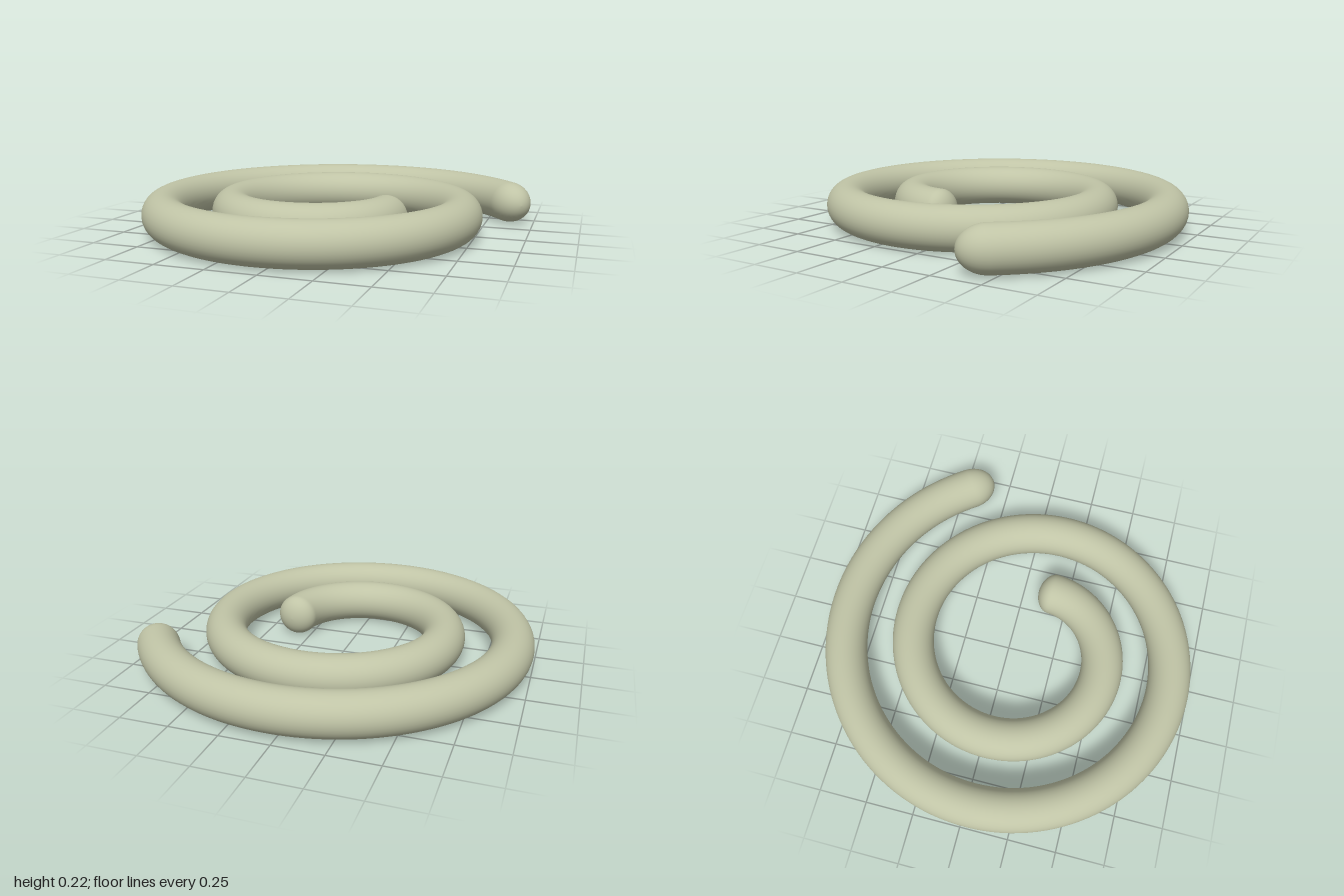
import * as THREE from 'three';

const RADIUS = 0.11;                        // thickness of the coil
const CENTRE = { x: -0.013, z: 0.087 };     // eye of the spiral
const START = 0.24, END = 4 * Math.PI - 0.55;
const INNER_CAP = 0.082, OUTER_CAP = 0.14;  // lengths of the rounded ends
const PITCH = 0.36 / (2 * Math.PI);

// Point and unit direction of the flat spiral at an angle
function spiral(angle) {
  const r = 0.338 + PITCH * angle, c = Math.cos(angle), s = Math.sin(angle);
  return {
    point: new THREE.Vector3(CENTRE.x + r * c, RADIUS, CENTRE.z + r * s),
    dir: new THREE.Vector3(PITCH * c - r * s, 0, PITCH * s + r * c).normalize(),
  };
}

// Cross-sections along the coil: rounded end, body, rounded end
function crossSections(capSteps = 12, bodySteps = 260) {
  const rings = [];
  const addCap = (angle, length, k) => {
    const { point, dir } = spiral(angle);
    const a = (k / capSteps) * Math.PI / 2;
    point.addScaledVector(dir, length * Math.sin(a));
    rings.push({ point, dir, radius: Math.max(RADIUS * Math.cos(a), 1e-4) });
  };
  for (let k = capSteps; k > 0; k--) addCap(START, -INNER_CAP, k);
  for (let i = 0; i <= bodySteps; i++) {
    rings.push({ ...spiral(START + (END - START) * i / bodySteps), radius: RADIUS });
  }
  for (let k = 1; k <= capSteps; k++) addCap(END, OUTER_CAP, k);
  return rings;
}

function coilGeometry(sides = 36) {
  const positions = [], indices = [];
  const rings = crossSections();
  rings.forEach(({ point, dir, radius }, i) => {
    for (let j = 0; j < sides; j++) {
      const a = (j / sides) * Math.PI * 2;
      const out = radius * Math.cos(a);
      positions.push(point.x + out * dir.z, point.y + radius * Math.sin(a), point.z - out * dir.x);
      if (i === rings.length - 1) continue;
      const p = i * sides + j, q = i * sides + (j + 1) % sides;
      indices.push(p, q, p + sides, q, q + sides, p + sides);
    }
  });
  const geometry = new THREE.BufferGeometry();
  geometry.setAttribute('position', new THREE.Float32BufferAttribute(positions, 3));
  geometry.setIndex(indices);
  geometry.computeVertexNormals();
  return geometry;
}

export function createModel() {
  const group = new THREE.Group();
  group.name = 'spiralCoil';
  const coil = new THREE.Mesh(coilGeometry(), new THREE.MeshStandardMaterial({ color: 0xc0c4a6 }));
  coil.name = 'coil';
  group.add(coil);
  return group;
}
